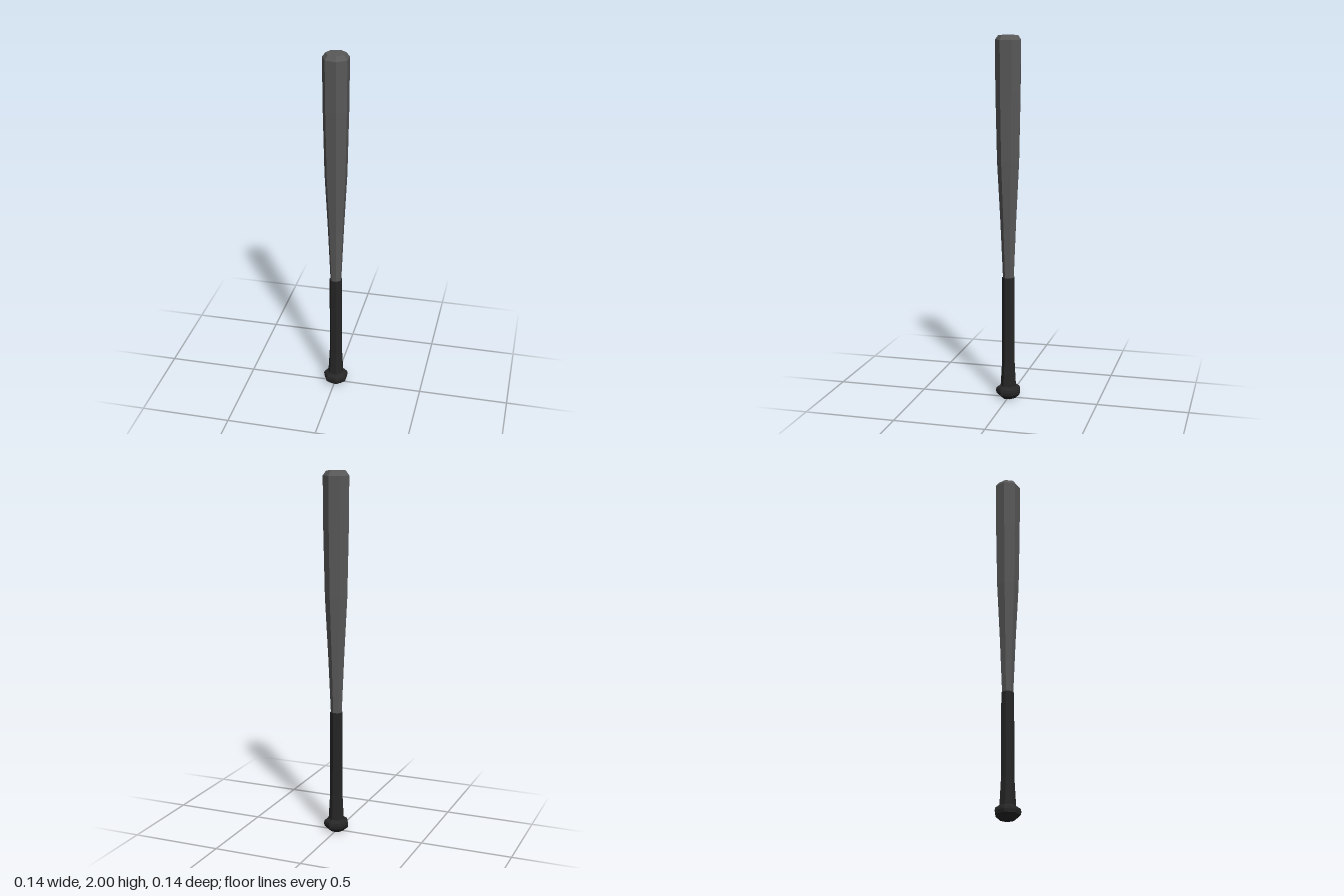
import * as THREE from 'three';

const SIDES = 7;

export function createModel() {
  const bat = new THREE.Group();
  bat.name = 'bat';

  const barrelGrey = new THREE.MeshStandardMaterial({ color: 0x595959, flatShading: true });
  barrelGrey.name = 'barrelGrey';
  const gripBlack = new THREE.MeshStandardMaterial({ color: 0x262626, flatShading: true });
  gripBlack.name = 'gripBlack';

  // Seven-sided turned part from [radius, height] pairs, bottom to top, one corner towards -x
  function turned(name, profile, material) {
    const points = profile.map(([r, y]) => new THREE.Vector2(r, y));
    const mesh = new THREE.Mesh(new THREE.LatheGeometry(points, SIDES, -Math.PI / 2), material);
    mesh.name = name;
    // An odd-sided ring is off centre, so shift it to centre its width
    mesh.position.x = 0.0035;
    bat.add(mesh);
  }

  // Rounded knob at the foot
  turned('knob', [
    [0, 0], [0.04, 0], [0.068, 0.025], [0.071, 0.043], [0.067, 0.057], [0.046, 0.071], [0, 0.071],
  ], gripBlack);

  // Wrapped grip, flaring towards the knob
  turned('grip', [
    [0.045, 0.065], [0.041, 0.13], [0.0365, 0.21], [0.0355, 0.69], [0, 0.69],
  ], gripBlack);

  // Tapered barrel with a bevelled flat end
  turned('barrel', [
    [0.031, 0.685], [0.045, 1.0], [0.0625, 1.33], [0.0705, 1.7], [0.0725, 1.975], [0.054, 2], [0, 2],
  ], barrelGrey);

  return bat;
}
